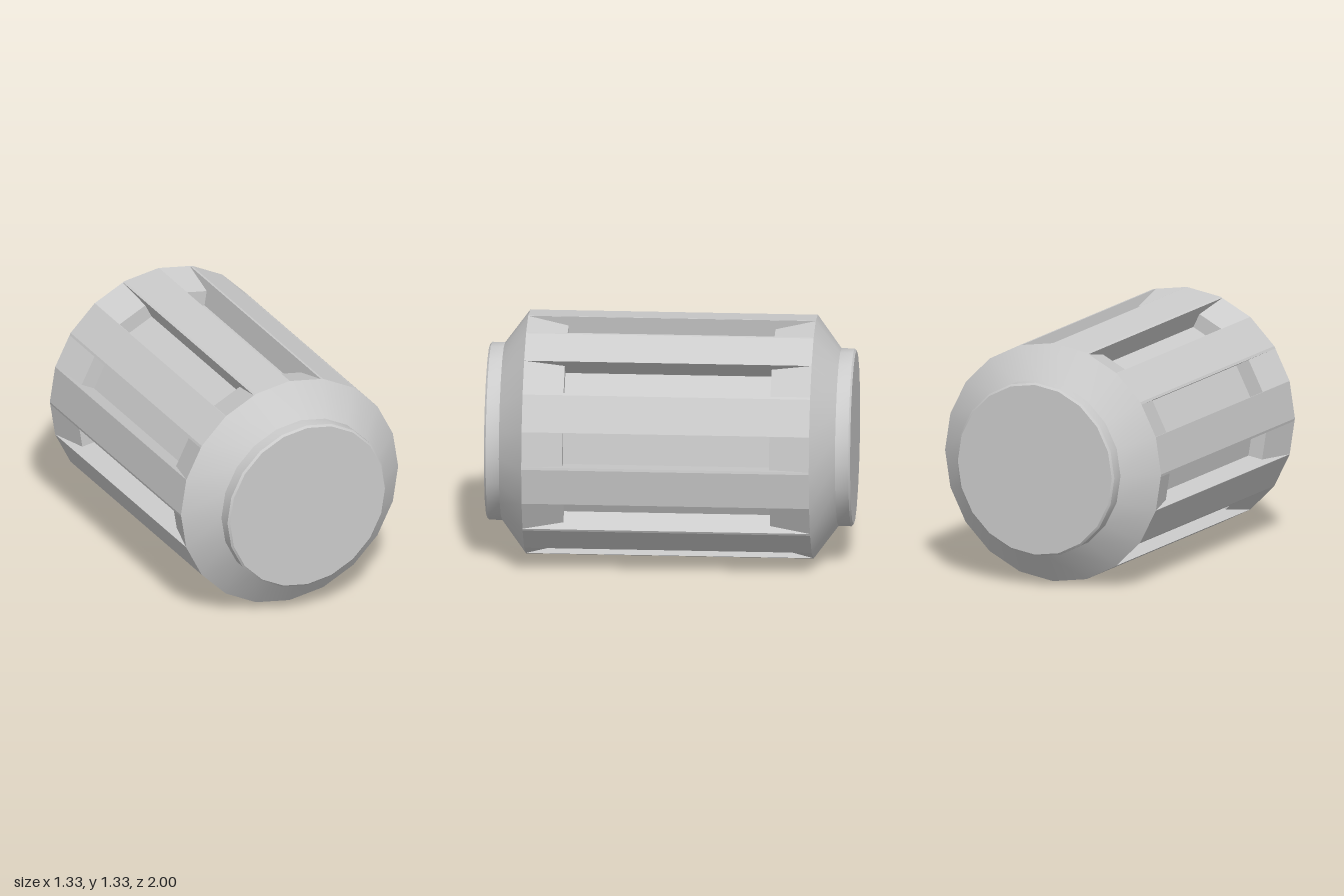
import * as THREE from 'three';
import { toCreasedNormals } from 'three/addons/utils/BufferGeometryUtils.js';

const SIDES = 20, R = 0.665, HALF = 0.785;
const STEP = (Math.PI * 2) / SIDES;
const FACET = 2 * R * Math.sin(STEP / 2);      // width of one facet
const APOTHEM = R * Math.cos(STEP / 2);

// Groove depth along the axis: sloped run-in, step, floor, step, run-out
const GROOVE = [[-HALF, 0], [-0.565, 0.055], [-0.565, 0.14], [0.565, 0.14], [0.565, 0.055], [HALF, 0]];

// Fluted barrel: facets alternate between a groove and a plain rib
function bodyGeometry() {
  const pos = [];
  const quad = (a, b, c, d) => pos.push(...a, ...b, ...c, ...a, ...c, ...d);

  for (let i = 0; i < SIDES; i++) {
    const mid = (i + 0.5) * STEP, s = Math.sin(mid), c = Math.cos(mid);
    // u runs across the facet, d is depth below it
    const P = (u, d, z) => {
      const t = u - FACET / 2, n = APOTHEM - d;
      return [s * n + c * t, c * n - s * t, z];
    };
    const strip = (u0, u1) =>
      quad(P(u0, 0, -HALF), P(u0, 0, HALF), P(u1, 0, HALF), P(u1, 0, -HALF));

    if (i % 2) { strip(0, FACET); continue; }   // plain rib

    const u0 = 0.002, u1 = FACET - 0.014;
    strip(0, u0);
    strip(u1, FACET);
    for (let k = 0; k < GROOVE.length - 1; k++) {
      const [za, da] = GROOVE[k], [zb, db] = GROOVE[k + 1];
      quad(P(u0, da, za), P(u0, db, zb), P(u1, db, zb), P(u1, da, za));      // floor, ramp or step
      if (za === zb) continue;
      quad(P(u0, da, za), P(u0, 0, za), P(u0, 0, zb), P(u0, db, zb));        // walls
      quad(P(u1, db, zb), P(u1, 0, zb), P(u1, 0, za), P(u1, da, za));
    }
  }
  const g = new THREE.BufferGeometry();
  g.setAttribute('position', new THREE.Float32BufferAttribute(pos, 3));
  g.computeVertexNormals();
  return g;
}

// Conical shoulder with a short bevelled end disc
function endGeometry() {
  const profile = [[R, HALF], [0.485, 0.918], [0.485, 0.99], [0.474, 1], [0, 1]]
    .map(([r, y]) => new THREE.Vector2(r, y));
  const g = new THREE.LatheGeometry(profile, SIDES).rotateX(Math.PI / 2);
  return toCreasedNormals(g, 0.5);
}

export function createModel() {
  const group = new THREE.Group();
  group.name = 'flutedBarrel';
  const material = new THREE.MeshStandardMaterial({ color: 0xcccccc });
  const add = (name, geometry) => {
    const mesh = new THREE.Mesh(geometry, material);
    mesh.name = name;
    mesh.position.y = R;
    group.add(mesh);
    return mesh;
  };

  add('groovedBody', bodyGeometry());
  add('frontEnd', endGeometry());
  add('backEnd', endGeometry()).rotation.y = Math.PI;
  return group;
}
